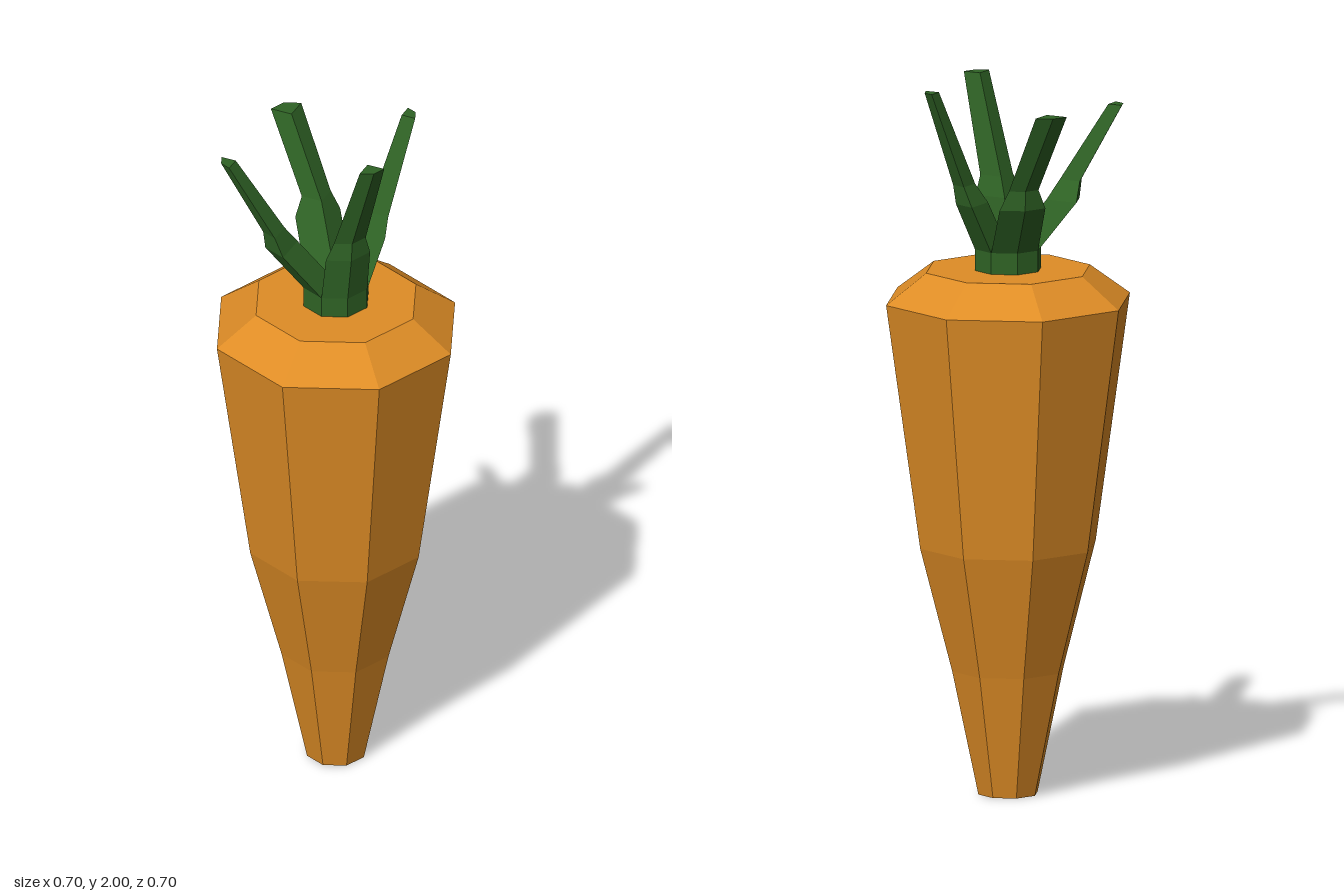
import * as THREE from 'three';

const orange = new THREE.MeshStandardMaterial({ color: 0xdf8d26 });
orange.name = 'carrot orange';
const green = new THREE.MeshStandardMaterial({ color: 0x2f6325 });
green.name = 'leaf green';

// Faceted mesh: every face keeps its own normal
function facetedMesh(geometry, material, name) {
  const flat = geometry.toNonIndexed();
  flat.computeVertexNormals();
  const mesh = new THREE.Mesh(flat, material);
  mesh.name = name;
  return mesh;
}

// A stalk is a quarter of an octagon lofted through rings [cx, y, cz, radius];
// sx and sz choose its quadrant
function stalkGeometry(sx, sz, rings) {
  const d = Math.SQRT1_2;
  const section = [[0, 0], [0, 1], [d, d], [1, 0]];
  if (sx * sz < 0) section.reverse();
  const positions = [];
  const index = [];
  rings.forEach(([cx, y, cz, r], i) => {
    for (const [u, v] of section) positions.push(sx * (cx + u * r), y, sz * (cz + v * r));
    if (i === 0) return;
    for (let k = 0; k < 4; k++) {
      const a = (i - 1) * 4 + k;
      const b = (i - 1) * 4 + (k + 1) % 4;
      index.push(a, b, b + 4, a, b + 4, a + 4);
    }
  });
  const t = (rings.length - 1) * 4;
  index.push(t, t + 1, t + 2, t, t + 2, t + 3);
  const geometry = new THREE.BufferGeometry();
  geometry.setAttribute('position', new THREE.Float32BufferAttribute(positions, 3));
  geometry.setIndex(index);
  return geometry;
}

export function createModel() {
  const model = new THREE.Group();
  model.name = 'carrot';

  // Eight-sided tapering root
  const profile = [[0, 0], [0.085, 0], [0.16, 0.35], [0.252, 0.7], [0.35, 1.39], [0.235, 1.475], [0, 1.475]];
  const root = new THREE.LatheGeometry(profile.map(([r, y]) => new THREE.Vector2(r, y)), 8);
  model.add(facetedMesh(root, orange, 'root'));

  // Four stalks share an octagonal base, then knuckle and spread apart
  const stalks = [
    { name: 'backRightStalk', sx: -1, sz: -1, knee: [0.06, 1.67, 0.062, 0.093], neck: [0.085, 1.725, 0.087, 0.06], tip: [0.2, 1.95, 0.138, 0.063] },
    { name: 'backLeftStalk', sx: 1, sz: -1, knee: [0.028, 1.67, 0.063, 0.092], neck: [0.054, 1.725, 0.09, 0.063], tip: [0.108, 1.995, 0.198, 0.041] },
    { name: 'frontRightStalk', sx: -1, sz: 1, knee: [0.094, 1.67, 0.049, 0.095], neck: [0.12, 1.725, 0.079, 0.063], tip: [0.245, 1.94, 0.13, 0.043] },
    { name: 'frontLeftStalk', sx: 1, sz: 1, knee: [0.019, 1.67, 0.015, 0.092], neck: [0.039, 1.725, 0.031, 0.066], tip: [0.134, 2, 0.081, 0.051] },
  ];
  const leaves = new THREE.Group();
  leaves.name = 'leaves';
  for (const { name, sx, sz, knee, neck, tip } of stalks) {
    const rings = [[0, 1.47, 0, 0.095], [0, 1.535, 0, 0.095], knee, neck, tip];
    leaves.add(facetedMesh(stalkGeometry(sx, sz, rings), green, name));
  }
  model.add(leaves);
  return model;
}
